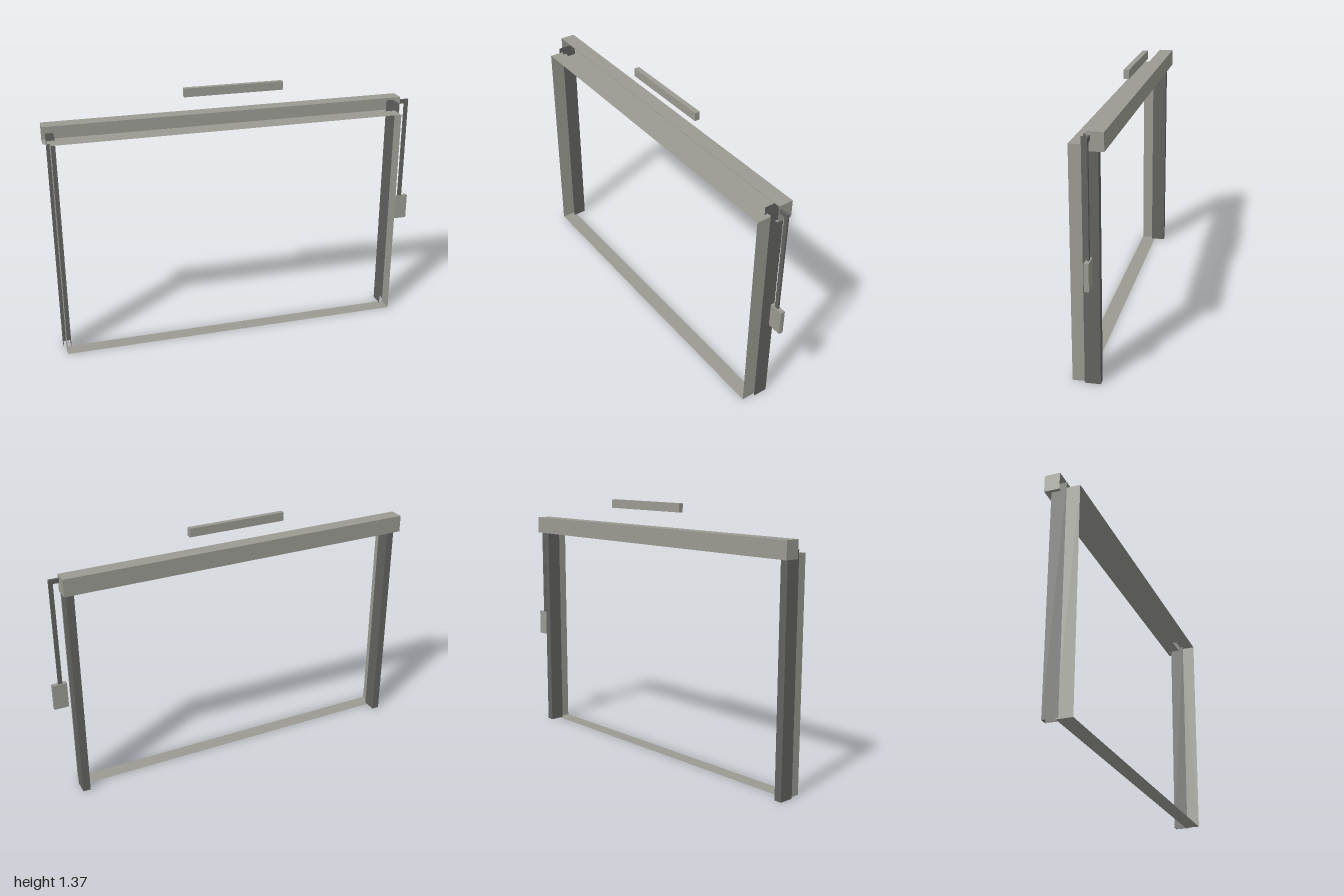
import * as THREE from 'three';

// Box between two corners; faces listed in `open` are left out
// (0 +x, 1 -x, 2 +y, 3 -y, 4 +z, 5 -z).
function panelBox(name, material, [x0, x1], [y0, y1], [z0, z1], open = []) {
  const geometry = new THREE.BoxGeometry(x1 - x0, y1 - y0, z1 - z0);
  const index = Array.from(geometry.index.array);
  geometry.setIndex(index.filter((_, i) => !open.includes(Math.floor(i / 6))));
  geometry.clearGroups();
  geometry.translate((x0 + x1) / 2, (y0 + y1) / 2, (z0 + z1) / 2);
  const mesh = new THREE.Mesh(geometry, material);
  mesh.name = name;
  return mesh;
}

export function createModel() {
  const paleGrey = new THREE.MeshStandardMaterial({ color: 0x9a9a92, side: THREE.DoubleSide });
  paleGrey.name = 'paleGrey';
  const darkGrey = new THREE.MeshStandardMaterial({ color: 0x626260, side: THREE.DoubleSide });
  darkGrey.name = 'darkGrey';

  const model = new THREE.Group();
  model.name = 'rollerDoorFrame';

  // Thin lining of the opening, open at front and back
  model.add(panelBox('openingLining', paleGrey, [-0.968, 0.884], [0, 1.17], [0.004, 0.085], [4, 5]));

  // Header housing, open towards the front
  model.add(panelBox('headerHousing', paleGrey, [-1, 0.915], [1.15, 1.24], [-0.086, -0.007], [4]));

  // Guide rails: channels open at the front, top and bottom
  const rails = [['rightRail', -0.982, 1.19], ['leftRail', 0.858, 1.212]];
  for (const [name, x, top] of rails) {
    model.add(panelBox(name, darkGrey, [x, x + 0.04], [0, top], [-0.056, 0.022], [2, 3, 4]));
  }

  // Conduit from the header down to the control box
  const conduit = new THREE.Group();
  conduit.name = 'conduit';
  conduit.add(
    panelBox('conduitElbow', darkGrey, [0.915, 0.967], [1.2, 1.223], [-0.024, -0.013]),
    panelBox('conduitDrop', darkGrey, [0.946, 0.967], [0.658, 1.2], [-0.024, -0.013], [2])
  );
  model.add(conduit);

  // Wall control box
  model.add(panelBox('controlBox', paleGrey, [0.925, 1], [0.522, 0.658], [-0.03, -0.007]));

  // Separate bar above the header
  model.add(panelBox('upperBar', paleGrey, [-0.275, 0.252], [1.325, 1.37], [-0.061, -0.034]));

  return model;
}
